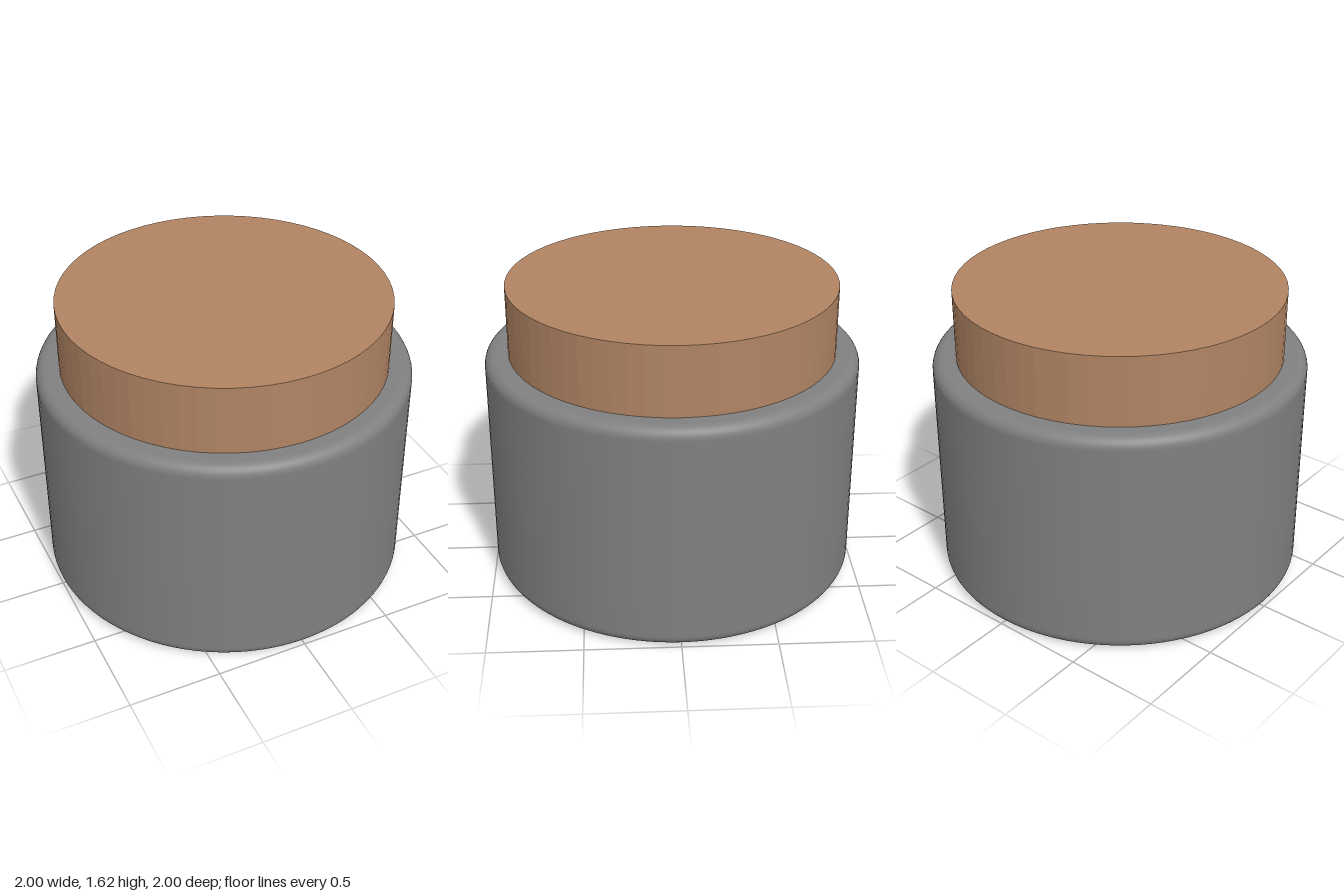
import * as THREE from 'three';

const BODY_RADIUS = 1, BODY_HEIGHT = 1.25, FILLET = 0.06;
const LID_RADIUS = 0.875, LID_TOP = 1.625;

// Quarter-circle fillet points around (cx, cy), from angle a to a + 90 degrees
function fillet(cx, cy, a, steps = 8) {
  return Array.from({ length: steps + 1 }, (_, i) => {
    const t = a + (i / steps) * Math.PI / 2;
    return new THREE.Vector2(cx + FILLET * Math.cos(t), cy + FILLET * Math.sin(t));
  });
}

export function createModel() {
  const model = new THREE.Group();
  model.name = 'jar';

  // Closed jar body with rounded rims; extra points keep the flats and wall evenly shaded
  const inner = BODY_RADIUS - FILLET;
  const e = 0.005;
  const profile = [
    new THREE.Vector2(0, 0),
    new THREE.Vector2(inner - e, 0),
    ...fillet(inner, FILLET, -Math.PI / 2),
    new THREE.Vector2(BODY_RADIUS, FILLET + e),
    new THREE.Vector2(BODY_RADIUS, BODY_HEIGHT - FILLET - e),
    ...fillet(inner, BODY_HEIGHT - FILLET, 0),
    new THREE.Vector2(inner - e, BODY_HEIGHT),
    new THREE.Vector2(0, BODY_HEIGHT),
  ];
  const body = new THREE.Mesh(
    new THREE.LatheGeometry(profile, 96),
    new THREE.MeshStandardMaterial({ color: 0x808080 })
  );
  body.name = 'jarBody';
  model.add(body);

  // Wooden lid with crisp edges, seated on the body
  const lidHeight = LID_TOP - BODY_HEIGHT;
  const lid = new THREE.Mesh(
    new THREE.CylinderGeometry(LID_RADIUS, LID_RADIUS, lidHeight, 64),
    new THREE.MeshStandardMaterial({ color: 0xb08463, flatShading: true })
  );
  lid.name = 'lid';
  lid.position.y = BODY_HEIGHT + lidHeight / 2;
  model.add(lid);

  return model;
}
